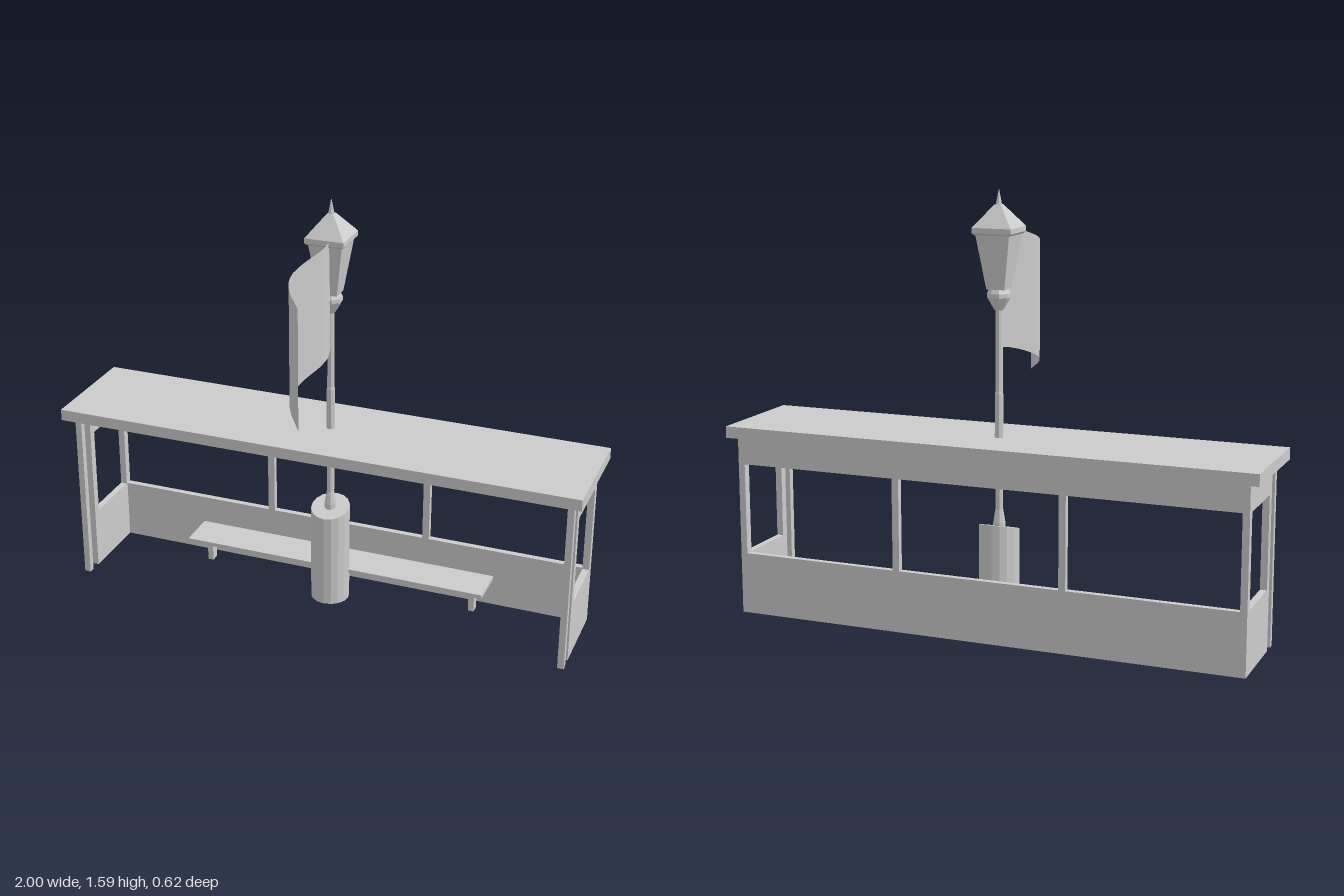
import * as THREE from 'three';

const mat = new THREE.MeshStandardMaterial({ color: 0xcccccc, flatShading: true });
const sheetMat = new THREE.MeshStandardMaterial({ color: 0xcccccc, flatShading: true, side: THREE.DoubleSide });
const POLE_Z = -0.105;

export function createModel() {
  const model = new THREE.Group();
  model.name = 'shelter';

  const add = (name, geometry, material = mat) => {
    const mesh = new THREE.Mesh(geometry, material);
    mesh.name = name;
    model.add(mesh);
    return mesh;
  };
  // Box given by its extents on each axis
  const box = (name, x0, x1, y0, y1, z0, z1) => {
    const g = new THREE.BoxGeometry(x1 - x0, y1 - y0, z1 - z0);
    g.translate((x0 + x1) / 2, (y0 + y1) / 2, (z0 + z1) / 2);
    return add(name, g);
  };
  // Turned part on the pole axis; 4 sides are squared up to the axes
  const turned = (name, profile, sides) => {
    const pts = profile.map(([r, y]) => new THREE.Vector2(sides === 4 ? r * Math.SQRT2 : r, y));
    const g = new THREE.LatheGeometry(pts, sides);
    g.rotateY(Math.PI / sides);
    g.translate(0, 0, POLE_Z);
    return add(name, g.toNonIndexed());
  };

  // Roof slab
  box('roof', -1, 1, 0.67, 0.713, -0.31, 0.12);

  // Back wall: parapet, header and two mullions
  box('backParapet', -0.94, 0.94, 0, 0.23, -0.285, -0.262);
  box('backHeader', -0.94, 0.94, 0.57, 0.67, -0.285, -0.262);
  for (const x of [-0.307, 0.328]) box('backMullion', x - 0.013, x + 0.013, 0.23, 0.57, -0.285, -0.262);

  for (const s of [-1, 1]) {
    // Side wall with a window opening
    const wall = new THREE.Shape();
    wall.moveTo(-0.015, 0).lineTo(0.285, 0).lineTo(0.285, 0.67).lineTo(-0.015, 0.67).closePath();
    const hole = new THREE.Path();
    hole.moveTo(0.015, 0.23).lineTo(0.015, 0.57).lineTo(0.255, 0.57).lineTo(0.255, 0.23).closePath();
    wall.holes.push(hole);
    const g = new THREE.ExtrudeGeometry(wall, { depth: 0.025, bevelEnabled: false });
    g.rotateY(Math.PI / 2);
    g.translate(s * 0.9525 - 0.0125, 0, 0);
    add('sideWall', g);

    // Front roof post and bench leg
    box('frontPost', s * 0.954 - 0.012, s * 0.954 + 0.012, 0, 0.67, 0.053, 0.077);
    box('benchLeg', s * 0.54 - 0.011, s * 0.54 + 0.011, 0, 0.108, -0.217, -0.183);
  }

  // Bench seat
  box('benchSeat', -0.6, 0.6, 0.107, 0.122, -0.265, -0.11);

  // Pedestal with a top that slopes down to the front
  const pedestal = new THREE.CylinderGeometry(0.073, 0.073, 0.385, 16);
  pedestal.translate(0, 0.1925, 0);
  const p = pedestal.attributes.position;
  for (let i = 0; i < p.count; i++) {
    if (p.getY(i) > 0.3) p.setY(i, 0.385 - p.getZ(i) * 0.27);
  }
  pedestal.translate(0, 0, POLE_Z);
  add('pedestal', pedestal);

  // Pole with its lower shaft, knob and upper shaft
  turned('pole', [
    [0.022, 0.36], [0.022, 0.40], [0.014, 0.45], [0.014, 0.6], [0.022, 0.605],
    [0.031, 0.625], [0.031, 0.65], [0.02, 0.668], [0.016, 0.69], [0.015, 0.87],
    [0.013, 0.88], [0.013, 1.18],
  ], 8);

  // Lantern: collar, tapered square body, cap and finial
  turned('lanternCollar', [[0, 1.17], [0.016, 1.17], [0.042, 1.215], [0.042, 1.23], [0.032, 1.25], [0, 1.25]], 8);
  turned('lanternBody', [[0, 1.245], [0.034, 1.245], [0.063, 1.438], [0, 1.438]], 4);
  turned('lanternCap', [
    [0, 1.436], [0.066, 1.436], [0.073, 1.444], [0.073, 1.462], [0.012, 1.54], [0, 1.54],
  ], 4);
  turned('lanternFinial', [[0, 1.53], [0.012, 1.535], [0.009, 1.55], [0.001, 1.592]], 8);

  // Waving flag: a thin sheet along an S curve, drooping towards its free end
  const wave = new THREE.CatmullRomCurve3([
    [0, -0.1], [0.018, -0.03], [0.012, 0.04], [-0.015, 0.11], [-0.036, 0.185], [-0.02, 0.24], [0.04, 0.31],
  ].map(([x, z]) => new THREE.Vector3(x, 0, z)));
  const N = 16;
  const flag = new THREE.PlaneGeometry(1, 1, N, 1);
  const f = flag.attributes.position;
  for (let i = 0; i < f.count; i++) {
    const c = wave.getPoint(f.getX(i) + 0.5);
    const t = ((c.z + 0.1) / 0.41) ** 2;
    f.setXYZ(i, c.x, f.getY(i) > 0 ? 1.46 - 0.12 * t : 1.03 - 0.14 * t, c.z);
  }
  flag.computeVertexNormals();
  add('flag', flag, sheetMat);

  return model;
}
